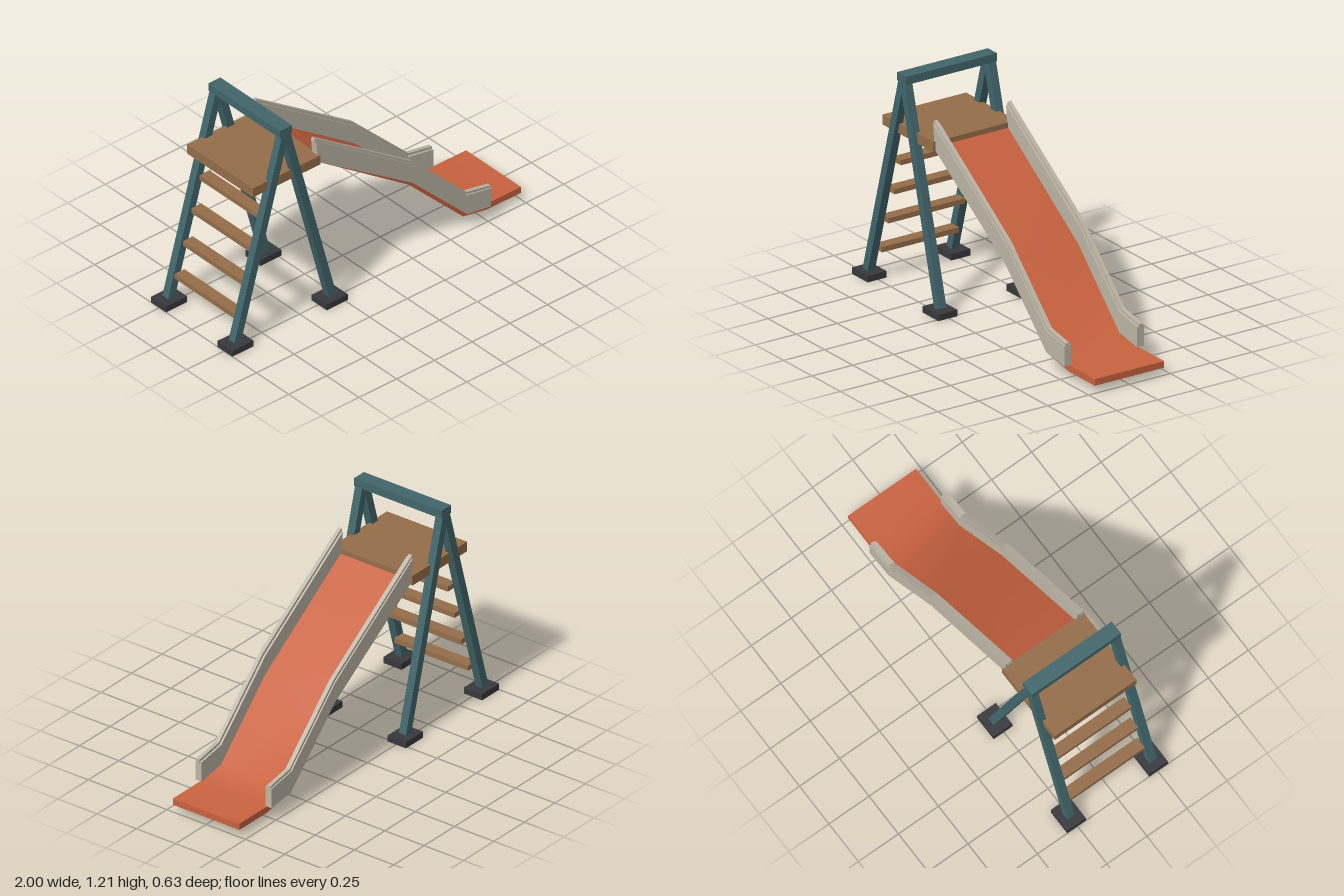
import * as THREE from 'three';
import { toCreasedNormals } from 'three/addons/utils/BufferGeometryUtils.js';

const paint = (color) => new THREE.MeshStandardMaterial({ color });
const TEAL = paint(0x41666b);
const WOOD = paint(0x956d49);
const ORANGE = paint(0xc8623f);
const STONE = paint(0xbdb5a6);
const DARK = paint(0x38383d);

export function createModel() {
  const group = new THREE.Group();

  const add = (name, geometry, material) => {
    const mesh = new THREE.Mesh(geometry, material);
    mesh.name = name;
    group.add(mesh);
    return mesh;
  };

  const box = (name, material, w, h, d, x, y, z) => {
    const mesh = add(name, new THREE.BoxGeometry(w, h, d), material);
    mesh.position.set(x, y, z);
    return mesh;
  };

  // Side profile (upper line, then lower line reversed) extruded across z
  const profile = (name, material, upper, lower, width, z) => {
    const points = [...upper, ...[...lower].reverse()].map(([x, y]) => new THREE.Vector2(x, y));
    const geometry = new THREE.ExtrudeGeometry(new THREE.Shape(points), { depth: width, bevelEnabled: false });
    geometry.translate(0, 0, z - width / 2);
    return add(name, geometry, material);
  };

  // A-frame: two sloping legs and footings per side
  const apex = [-0.612, 1.185];
  for (const side of [1, -1]) {
    for (const footX of [-0.934, -0.302]) {
      const dx = apex[0] - footX;
      const dy = apex[1] - 0.036;
      const leg = box('leg', TEAL, 0.045, Math.hypot(dx, dy), 0.045,
        footX + dx / 2, 0.036 + dy / 2, side * 0.256);
      leg.rotation.z = -Math.atan2(dx, dy);
    }
    for (const x of [-0.93, -0.305]) box('footing', DARK, 0.14, 0.035, 0.116, x, 0.0175, side * 0.256);
  }
  box('topBeam', TEAL, 0.08, 0.045, 0.555, -0.612, 1.183, 0);

  // Platform and ladder
  box('platform', WOOD, 0.448, 0.055, 0.51, -0.589, 0.888, 0);
  for (let i = 0; i < 4; i++) {
    box('rung', WOOD, 0.066, 0.028, 0.47, -0.88 + i * 0.0555, 0.163 + i * 0.1765, 0);
  }

  // Slide bed, shaded softly along its length
  const bed = profile('slideBed', ORANGE,
    [[-0.365, 0.887], [0.255, 0.463], [0.617, 0.105], [0.775, 0.077], [1, 0.077]],
    [[-0.372, 0.862], [0.255, 0.43], [0.617, 0.07], [0.775, 0.041], [1, 0.041]], 0.424, 0);
  bed.geometry = toCreasedNormals(bed.geometry, 0.75);

  // Side walls with a narrow cap rail along the top edge
  const wallTop = [[-0.384, 1.004], [0.252, 0.571], [0.614, 0.217], [0.775, 0.188]];
  const wallBottom = [[-0.372, 0.872], [0.255, 0.458], [0.617, 0.1], [0.775, 0.077]];
  const capTop = [[-0.387, 1.02], [0.257, 0.586], [0.619, 0.231], [0.777, 0.201]];
  const capBottom = [[-0.392, 0.998], [0.25, 0.562], [0.612, 0.207], [0.777, 0.178]];
  for (const side of [1, -1]) {
    profile('sideWall', STONE, wallTop, wallBottom, 0.04, side * 0.223);
    profile('capRail', STONE, capTop, capBottom, 0.022, side * 0.225);
  }

  return group;
}
